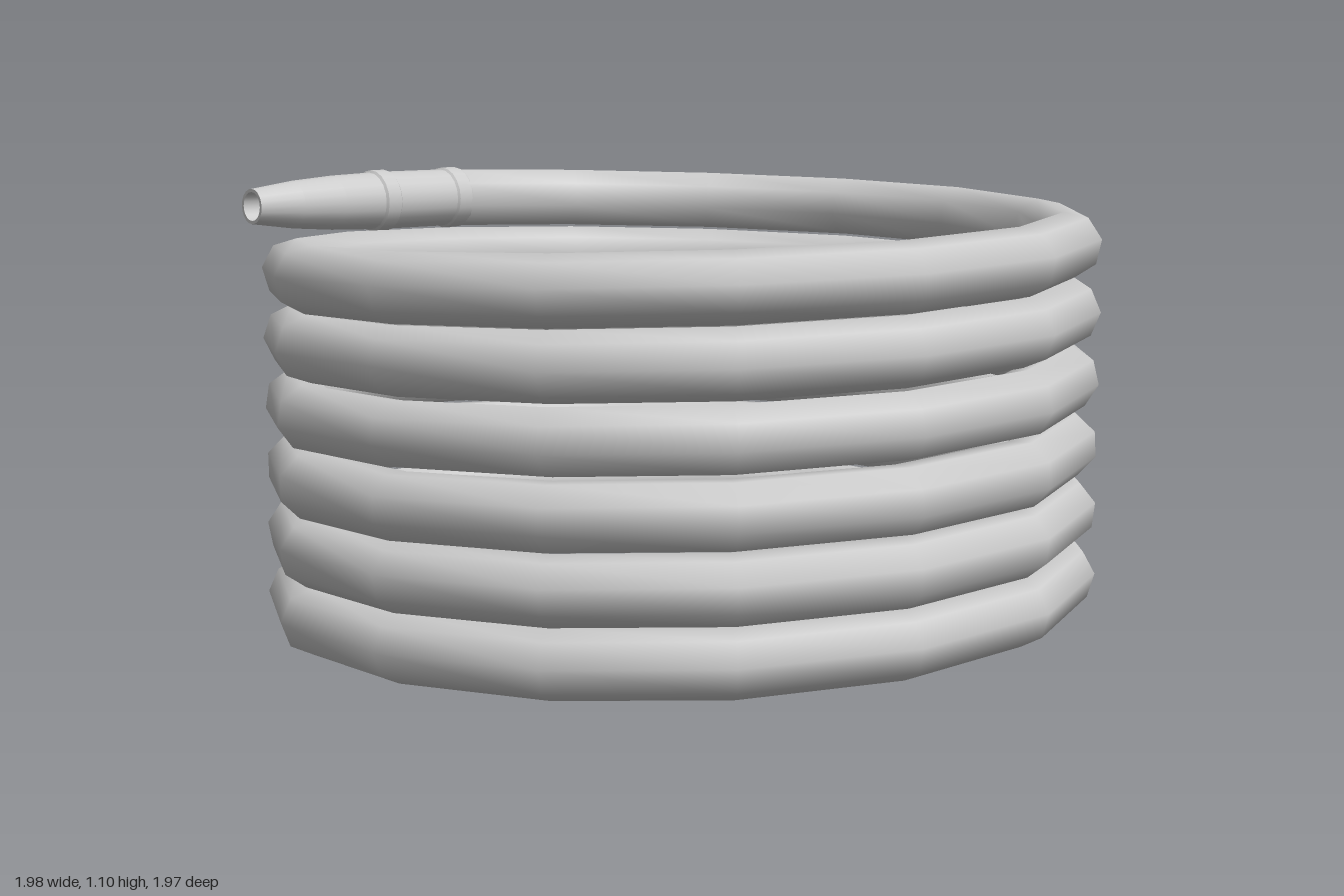
import * as THREE from 'three';

const R = 0.918, TUBE = 0.077, PITCH = 0.156, TURNS = 6, Y0 = 0.085;

// Rising coil that starts at the back and runs towards -x, front, +x
class Coil extends THREE.Curve {
  getPoint(t, target = new THREE.Vector3()) {
    const a = t * TURNS * Math.PI * 2;
    return target.set(-R * Math.sin(a), Y0 + t * TURNS * PITCH, -R * Math.cos(a));
  }
}

export function createModel() {
  const group = new THREE.Group();
  const mat = new THREE.MeshStandardMaterial({ color: 0xcccccc, side: THREE.DoubleSide });

  const add = (name, geometry) => {
    const mesh = new THREE.Mesh(geometry, mat);
    mesh.name = name;
    group.add(mesh);
  };

  // Turned part lying along x; profile is [radius, x], each band keeps crisp edges
  const turned = (name, profile, y) => {
    const part = new THREE.Group();
    part.name = name;
    for (let i = 0; i < profile.length - 1; i++) {
      const pts = [profile[i], profile[i + 1]].map(([r, x]) => new THREE.Vector2(r, -x));
      const mesh = new THREE.Mesh(new THREE.LatheGeometry(pts, 20), mat);
      mesh.name = name + 'Band';
      part.add(mesh);
    }
    part.rotation.z = Math.PI / 2;
    part.position.set(0, y, -0.915);
    group.add(part);
  };

  add('hose', new THREE.TubeGeometry(new Coil(), 90, TUBE, 8, false));

  // Open ferrule at the lower end
  turned('inletFerrule', [
    [0.076, -0.01], [0.082, -0.005], [0.082, 0.035], [0.079, 0.04],
    [0.068, 0.04], [0.066, -0.02], [0, -0.02],
  ], Y0);

  // Nozzle: two collars, a straight grip and a bulged taper with a hollow tip
  turned('nozzle', [
    [0.07, 0.04], [0.077, 0.04], [0.079, 0.035], [0.079, -0.005], [0.074, -0.01],
    [0.074, -0.19], [0.079, -0.195], [0.079, -0.235], [0.073, -0.24],
    [0.069, -0.36], [0.06, -0.48], [0.044, -0.6],
    [0.036, -0.6], [0.036, -0.5], [0, -0.5],
  ], Y0 + PITCH * TURNS);

  return group;
}
